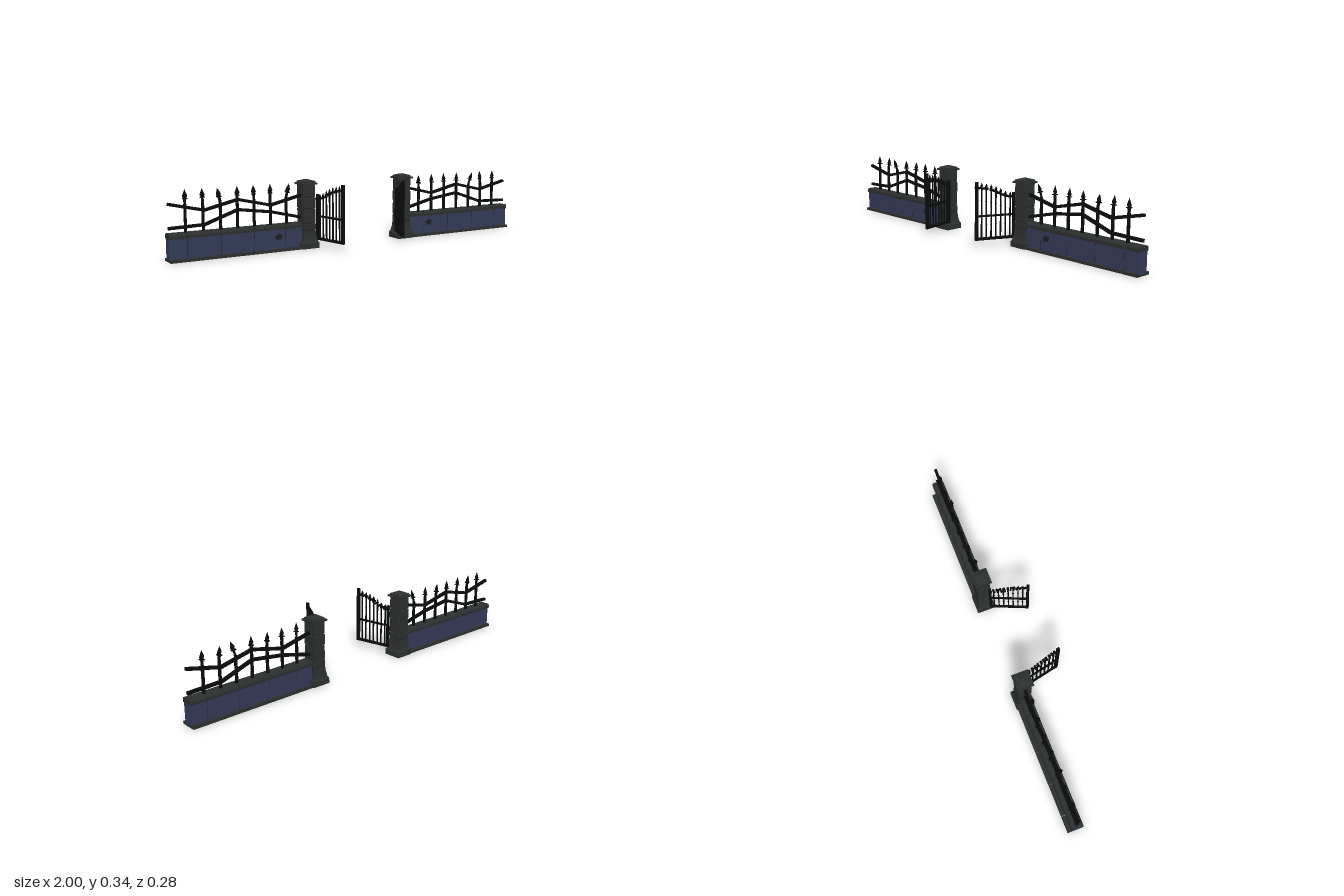
import * as THREE from 'three';

const mat = (color) => new THREE.MeshStandardMaterial({ color, flatShading: true });
const V = (x, y, z) => new THREE.Vector3(x, y, z);
const Z = -0.09; // centre line of walls and pillars

export function createModel() {
  const root = new THREE.Group();
  const stone = mat(0x2c302f), joint = mat(0x1c1f1f), blue = mat(0x363c5a), iron = mat(0x0a0c0b);

  const add = (parent, name, geo, material, x = 0, y = 0, z = 0) => {
    const m = new THREE.Mesh(geo, material);
    m.name = name;
    m.position.set(x, y, z);
    parent.add(m);
    return m;
  };
  const box = (parent, name, material, w, h, d, x, y, z) =>
    add(parent, name, new THREE.BoxGeometry(w, h, d), material, x, y, z);
  // square bar between two points
  const beam = (parent, name, a, b, w, d = w) => {
    const m = box(parent, name, iron, d, w, a.distanceTo(b) + w * 0.3, 0, 0, 0);
    m.position.copy(a).add(b).multiplyScalar(0.5);
    m.lookAt(b);
    return m;
  };
  // square profile of [halfWidth, y] pairs turned into a four-sided solid
  const squareLathe = (pts) => new THREE.LatheGeometry(
    pts.map(([r, y]) => new THREE.Vector2(r * Math.SQRT2, y)), 4, Math.PI / 4);
  // spear head with collar, pointing along dir
  const spear = (parent, at, dir, r, h) => {
    const g = new THREE.Group();
    g.name = 'spearHead';
    add(g, 'spearPoint', new THREE.LatheGeometry(
      [[0, 0], [r * 0.5, 0], [r, h * 0.28], [0, h]].map(([x, y]) => new THREE.Vector2(x, y)), 4), iron);
    box(g, 'spearCollar', iron, r * 1.5, h * 0.1, r * 1.5, 0, 0, 0);
    g.position.copy(at);
    g.quaternion.setFromUnitVectors(V(0, 1, 0), dir.clone().normalize());
    parent.add(g);
  };

  function pillar(s) {
    const g = new THREE.Group();
    g.name = 'pillar';
    g.position.set(s * 0.287, 0, Z);
    add(g, 'pillarBase', squareLathe([[0, 0], [0.048, 0], [0.048, 0.027], [0.042, 0.036],
      [0.037, 0.06], [0.034, 0.09], [0, 0.09]]), stone);
    // stacked blocks with chamfered joints
    const ys = [0.09, 0.125, 0.2, 0.254, 0.32];
    for (let i = 0; i < ys.length - 1; i++) {
      const r = 0.0345 - (i % 2) * 0.001, a = ys[i], b = ys[i + 1];
      add(g, 'pillarBlock', squareLathe([[0, a], [r - 0.003, a], [r, a + 0.003],
        [r, b - 0.003], [r - 0.003, b], [0, b]]), stone);
    }
    add(g, 'pillarCap', squareLathe([[0, 0.319], [0.043, 0.319], [0.043, 0.328], [0.035, 0.328],
      [0.034, 0.336], [0.008, 0.344], [0, 0.344]]), stone);
    root.add(g);
  }

  function wall(s) {
    const g = new THREE.Group();
    g.name = 'wall';
    const xs = [0.325, 0.415, 0.58, 0.75, 0.915, 1];
    const bar = (name, m, x0, x1, y0, y1, d, z = Z) =>
      box(g, name, m, x1 - x0, y1 - y0, d, s * (x0 + x1) / 2, (y0 + y1) / 2, z);
    bar('wallCore', joint, 0.3, 0.997, 0.01, 0.12, 0.042);
    for (let i = 0; i < xs.length - 1; i++) {
      const a = xs[i] + (i ? 0.0015 : 0), b = xs[i + 1] - (i < 4 ? 0.0015 : 0);
      bar('wallPanel', blue, a, b, 0.008, 0.11, 0.046);
      // coping stones with a chamfered upper edge
      const w = 0.031, shape = new THREE.Shape([[-w, 0.108], [w, 0.108], [w, 0.122], [w - 0.005, 0.131],
        [-w + 0.005, 0.131], [-w, 0.122]].map(([x, y]) => new THREE.Vector2(x, y)));
      const cap = new THREE.ExtrudeGeometry(shape, { depth: b - a, bevelEnabled: false });
      cap.rotateY(Math.PI / 2);
      add(g, 'copingStone', cap, stone, s > 0 ? a : -b, 0, Z);
      // open plinth: two ledges joined by a cross piece
      for (const k of [-1, 1]) bar('plinthLedge', stone, a, b, 0, 0.013, 0.022, Z + k * 0.031);
      bar('plinthTie', stone, b - 0.015, b, 0, 0.011, 0.05);
    }
    bar('copingCore', joint, 0.3, 0.995, 0.112, 0.129, 0.05);
    // broken patch in the front and back faces
    const chip = new THREE.Shape([[-0.026, 0.004], [-0.01, 0.008], [-0.002, 0.022], [0.008, 0.01], [0.024, 0.013],
      [0.014, -0.002], [0.018, -0.014], [0, -0.01], [-0.016, -0.018], [-0.012, -0.004]]
      .map(([x, y]) => new THREE.Vector2(x, y)));
    add(g, 'brokenPatch', new THREE.ExtrudeGeometry(chip, { depth: 0.002, bevelEnabled: false }),
      joint, s * 0.452, 0.07, Z + 0.0225);
    root.add(g);
  }

  function fence(s) {
    const g = new THREE.Group();
    g.name = 'fence';
    // zigzag rails
    const xs = [0.315, 0.482, 0.653, 0.82, 0.993];
    const rails = { upperRail: [0.267, 0.228, 0.267, 0.228, 0.267], lowerRail: [0.155, 0.195, 0.218, 0.16, 0.155] };
    for (const [name, ys] of Object.entries(rails))
      for (let i = 0; i < 4; i++)
        beam(g, name, V(s * xs[i], ys[i], Z), V(s * xs[i + 1], ys[i + 1], Z), 0.014);
    // spear posts, some with a bent tip
    const bends = [[-0.008, 0.012], [0, 0], [0, -0.006], [0, 0], [0.014, 0.01], [0, -0.008], [0, 0]];
    bends.forEach(([dx, dz], i) => {
      const x = 0.398 + i * 0.0858;
      const bottom = V(s * x, 0.128, Z), knee = V(s * x, 0.262, Z), top = V(s * (x - dx * 0.4), 0.288, Z + dz * 0.4);
      if (dx) top.x = s * (x + dx * 0.5);
      beam(g, 'post', bottom, knee, 0.011);
      beam(g, 'postTip', knee, top, 0.010);
      spear(g, top, top.clone().sub(knee), 0.013, 0.044);
    });
    root.add(g);
  }

  function gate(x0, z0, x1, z1) {
    const g = new THREE.Group();
    g.name = 'gate';
    const len = Math.hypot(x1 - x0, z1 - z0);
    g.position.set(x0, 0, z0);
    g.rotation.y = Math.atan2(z0 - z1, x1 - x0);
    // sweeping top rail
    const curve = new THREE.CatmullRomCurve3([[0, 0.248], [0.2, 0.252], [0.42, 0.272], [0.6, 0.288],
      [0.8, 0.297], [1, 0.304]].map(([t, y]) => V(t * len, y, 0)));
    const pts = curve.getPoints(12);
    for (let i = 0; i < 12; i++) beam(g, 'topRail', pts[i], pts[i + 1], 0.010, 0.009);
    box(g, 'bottomRail', iron, len, 0.013, 0.010, len / 2, 0.0465, 0);
    box(g, 'middleRail', iron, len, 0.009, 0.009, len / 2, 0.16, 0);
    box(g, 'outerStile', iron, 0.015, 0.29, 0.013, len - 0.0075, 0.185, 0);
    box(g, 'hingeStile', iron, 0.012, 0.23, 0.012, 0.006, 0.155, 0);
    // bars with knobs and spear tips
    for (let i = 1; i <= 7; i++) {
      const t = i / 8, x = t * (len - 0.008), y = curve.getPoint(t).y;
      box(g, 'bar', iron, 0.006, y - 0.03, 0.006, x, (y + 0.05) / 2, 0);
      for (const k of [0.117, y - 0.062])
        add(g, 'barKnob', new THREE.OctahedronGeometry(0.006), iron, x, k, 0);
      spear(g, V(x, y + 0.005, 0), V(0, 1, 0), 0.007, 0.02);
    }
    root.add(g);
  }

  for (const s of [-1, 1]) {
    pillar(s);
    wall(s);
    fence(s);
  }
  gate(-0.243, -0.06, -0.2, 0.136);
  gate(0.238, -0.07, 0.157, 0.12);
  return root;
}
